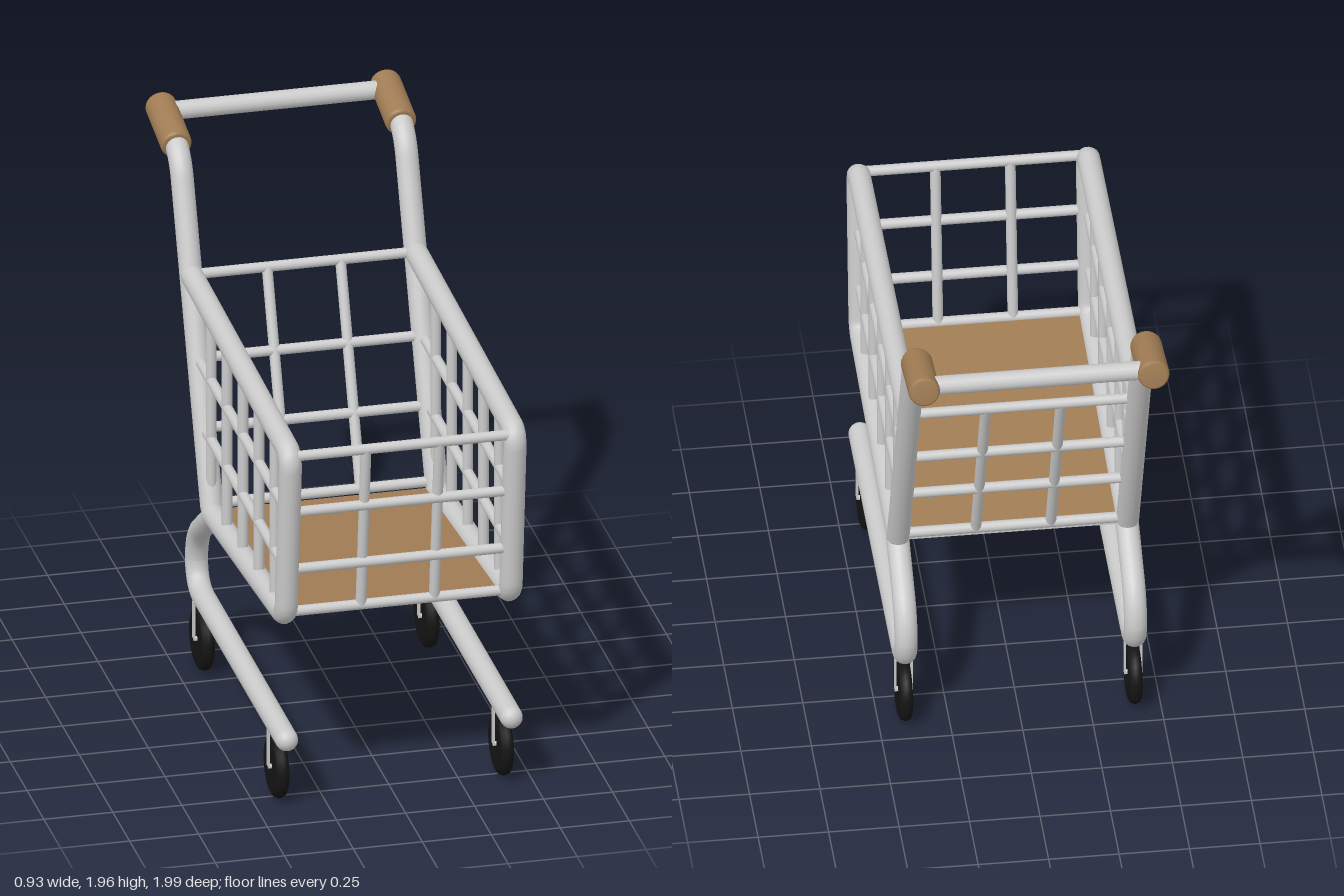
import * as THREE from 'three';

const METAL = new THREE.MeshStandardMaterial({ color: 0xcccccc });
const TAN = new THREE.MeshStandardMaterial({ color: 0xa07c54 });
const BLACK = new THREE.MeshStandardMaterial({ color: 0x141414 });
const SIDE_X = 0.407, TUBE_R = 0.041, WIRE_R = 0.019;
const UP = new THREE.Vector3(0, 1, 0);

function add(parent, name, geometry, material = METAL) {
  const mesh = new THREE.Mesh(geometry, material);
  mesh.name = name;
  parent.add(mesh);
  return mesh;
}

// Places a y-aligned mesh between two points
function align(mesh, a, b) {
  mesh.position.copy(a).add(b).multiplyScalar(0.5);
  mesh.quaternion.setFromUnitVectors(UP, b.clone().sub(a).normalize());
  return mesh;
}

function rod(parent, name, a, b, r = WIRE_R) {
  const A = new THREE.Vector3(...a), B = new THREE.Vector3(...b);
  return align(add(parent, name, new THREE.CylinderGeometry(r, r, A.distanceTo(B), 14)), A, B);
}

// Bent tube through [z, y, cornerRadius] points, with rounded ends
function bentTube(parent, name, x, points) {
  const p = points.map(([z, y]) => new THREE.Vector3(x, y, z));
  const path = new THREE.CurvePath();
  let last = p[0];
  for (let i = 1; i < p.length - 1; i++) {
    const r = points[i][2];
    const a = p[i].clone().add(p[i - 1].clone().sub(p[i]).setLength(r));
    const b = p[i].clone().add(p[i + 1].clone().sub(p[i]).setLength(r));
    path.add(new THREE.LineCurve3(last, a));
    path.add(new THREE.QuadraticBezierCurve3(a, p[i], b));
    last = b;
  }
  path.add(new THREE.LineCurve3(last, p[p.length - 1]));
  add(parent, name, new THREE.TubeGeometry(path, 140, TUBE_R, 18, false));
  for (const end of [p[0], p[p.length - 1]]) {
    add(parent, name + 'End', new THREE.SphereGeometry(TUBE_R, 18, 12)).position.copy(end);
  }
}

// Centre lines of the sloping basket edges
const uprightZ = y => -0.22 - (y - 0.7) * 0.393;
const frontZ = y => 0.9 + (y - 0.77) * 0.09;
const topY = z => 1.44 - z * 0.026;
const bottomY = z => 0.686 + z * 0.081;

function wheel(parent, x, z) {
  const group = new THREE.Group();
  group.name = 'wheel';
  group.position.set(x, 0.117, z);
  // Rounded tyre with a shallow dished hub
  const profile = [[0, -0.018], [0.05, -0.018], [0.06, -0.024], [0.095, -0.024], [0.11, -0.017], [0.117, 0],
    [0.11, 0.017], [0.095, 0.024], [0.06, 0.024], [0.05, 0.018], [0, 0.018]];
  add(group, 'tyre', new THREE.LatheGeometry(profile.map(q => new THREE.Vector2(...q)), 32), BLACK)
    .rotation.z = Math.PI / 2;
  for (const s of [-1, 1]) {
    add(group, 'forkPlate', new THREE.BoxGeometry(0.006, 0.14, 0.028)).position.set(s * 0.029, 0.07, 0);
  }
  add(group, 'forkTop', new THREE.BoxGeometry(0.064, 0.01, 0.028)).position.y = 0.137;
  rod(group, 'axle', [-0.03, 0, 0], [0.03, 0, 0], 0.009);
  parent.add(group);
}

function sideFrame(name, x) {
  const side = new THREE.Group();
  side.name = name;
  bentTube(side, 'handleUpright', x, [[-0.94, 1.9], [-0.69, 1.855, 0.1], [-0.215, 0.69]]);
  bentTube(side, 'basketRim', x, [[-0.5, topY(-0.5)], [0.962, 1.415, 0.06], [0.894, 0.758, 0.06], [-0.2, 0.67]]);
  bentTube(side, 'lowerFrame', x, [[-0.19, 0.665], [-0.44, 0.485, 0.1], [-0.445, 0.288, 0.12], [0.9, 0.284]]);

  // Side mesh
  for (const y of [0.945, 1.175]) {
    rod(side, 'sideWire', [x, y, frontZ(y)], [x, y, uprightZ(y)]);
  }
  for (let i = 0; i < 5; i++) {
    const z = 0.727 - i * 0.2375;
    rod(side, 'sideUprightWire', [x, bottomY(z), z], [x, topY(z), z]);
  }

  // Hand grip with softened rims
  const A = new THREE.Vector3(x, 1.857, -0.73), B = new THREE.Vector3(x, 1.908, -0.986);
  const h = A.distanceTo(B) / 2;
  const grip = [[0, -h], [0.045, -h], [0.053, -h + 0.006], [0.056, -h + 0.016],
    [0.056, h - 0.016], [0.053, h - 0.006], [0.045, h], [0, h]];
  align(add(side, 'grip', new THREE.LatheGeometry(grip.map(q => new THREE.Vector2(...q)), 24), TAN), A, B);

  wheel(side, x, 0.75);
  wheel(side, x, -0.36);
  return side;
}

// Mesh panel across the basket, following a sloping line z(y)
function endPanel(name, rows, zAt) {
  const panel = new THREE.Group();
  panel.name = name;
  for (const y of rows) rod(panel, 'crossWire', [-SIDE_X, y, zAt(y)], [SIDE_X, y, zAt(y)]);
  const low = rows[0], high = rows[rows.length - 1];
  for (const x of [-0.133, 0.133]) {
    rod(panel, 'uprightWire', [x, low, zAt(low)], [x, high, zAt(high)]);
  }
  return panel;
}

export function createModel() {
  const cart = new THREE.Group();
  cart.name = 'shoppingCart';
  cart.add(sideFrame('leftSide', SIDE_X), sideFrame('rightSide', -SIDE_X));
  cart.add(endPanel('frontPanel', [0.77, 0.95, 1.18, 1.405], y => y < 0.8 ? 0.88 : frontZ(y)));
  cart.add(endPanel('backPanel', [0.7, 0.95, 1.18, 1.455], uprightZ));
  rod(cart, 'pushBar', [-SIDE_X, 1.9, -0.935], [SIDE_X, 1.9, -0.935], 0.034);

  // Sloping floor: tan board on a metal base
  const floor = new THREE.Group();
  floor.name = 'floor';
  floor.position.set(0, bottomY(0.33), 0.33);
  floor.rotation.x = -Math.atan(0.081);
  add(floor, 'floorBoard', new THREE.BoxGeometry(0.78, 0.008, 1.09), TAN).position.y = 0.006;
  add(floor, 'floorBase', new THREE.BoxGeometry(0.78, 0.008, 1.09)).position.y = -0.002;
  cart.add(floor);
  return cart;
}
